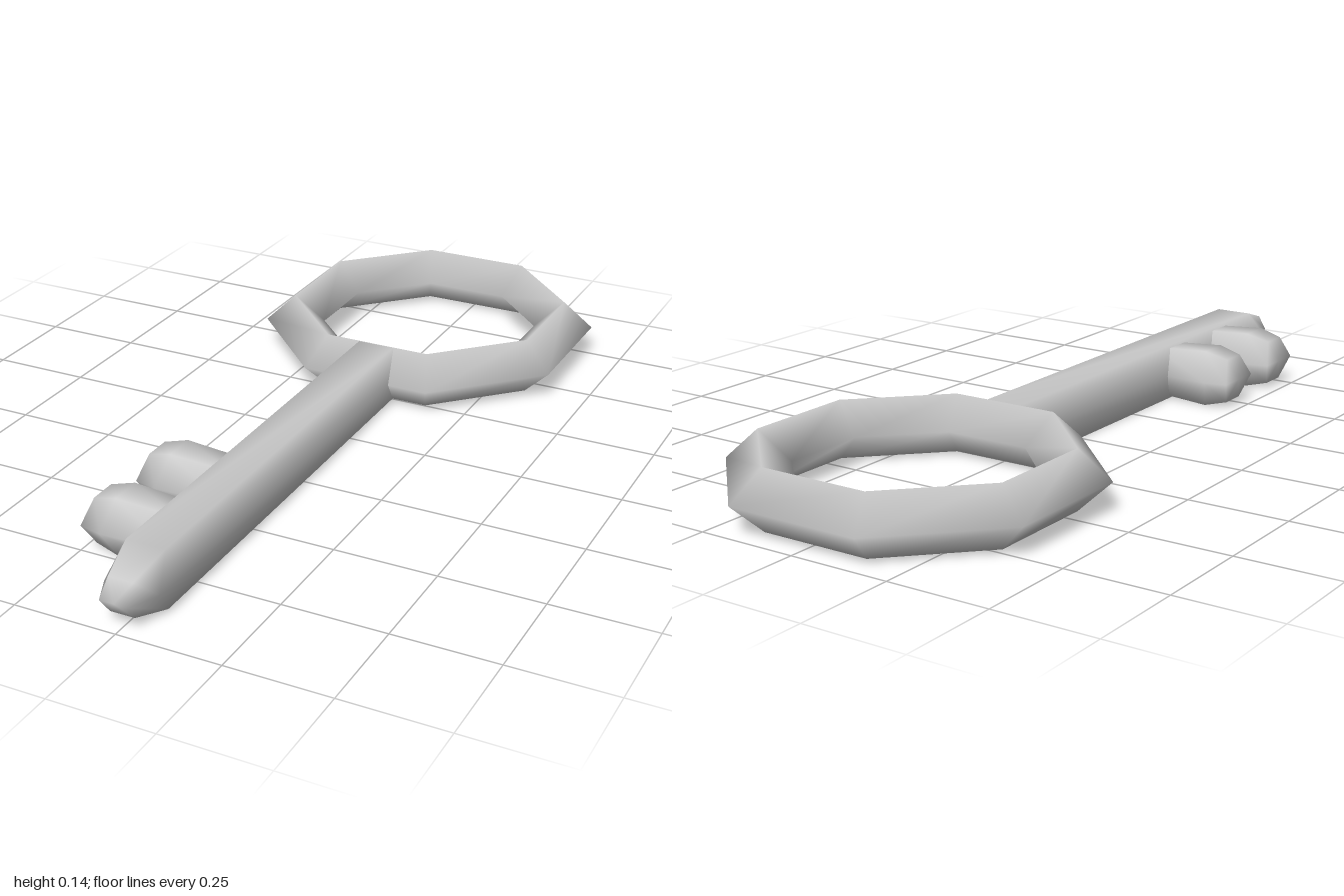
import * as THREE from 'three';

const MID = 0.0725; // half the thickness of the key
const material = new THREE.MeshStandardMaterial({ color: 0xcccccc });

// Six-sided bar along +z. Each section: side position, top position,
// half width at the middle, half width at the top, half height.
function bar(sections) {
  const points = [];
  const index = [];
  for (const [zs, zt, w, t, h] of sections) {
    points.push(w, 0, zs, t, h, zt, -t, h, zt, -w, 0, zs, -t, -h, zt, t, -h, zt);
  }
  const n = sections.length;
  points.push(0, 0, sections[0][0], 0, 0, sections[n - 1][0]);
  for (let j = 0; j < 6; j++) {
    const k = (j + 1) % 6;
    for (let i = 0; i < n - 1; i++) {
      const a = i * 6 + j, b = i * 6 + k;
      index.push(a, b, b + 6, a, b + 6, a + 6);
    }
    index.push(k, j, n * 6); // start cap
    index.push((n - 1) * 6 + j, (n - 1) * 6 + k, n * 6 + 1); // end cap
  }
  const geometry = new THREE.BufferGeometry();
  geometry.setAttribute('position', new THREE.Float32BufferAttribute(points, 3));
  geometry.setIndex(index);
  geometry.computeVertexNormals();
  return geometry;
}

export function createModel() {
  const key = new THREE.Group();
  key.name = 'key';

  function add(name, geometry, z) {
    const mesh = new THREE.Mesh(geometry, material);
    mesh.name = name;
    mesh.position.set(0, MID, z);
    key.add(mesh);
    return mesh;
  }

  // Octagonal bow with a diamond section, flats facing the axes
  const corner = Math.cos(Math.PI / 8);
  const bow = new THREE.TorusGeometry(0.3375 / corner, MID / corner, 4, 8);
  bow.rotateZ(Math.PI / 8);
  bow.rotateX(Math.PI / 2);
  bow.scale(1, corner, 1);
  add('bow', bow, -0.59);

  // Shaft with a tapered tip
  add('shaft', bar([
    [-0.25, -0.25, 0.067, 0.048, MID],
    [0.93, 0.87, 0.067, 0.048, MID],
    [1.0, 0.97, 0.035, 0.03, 0.042],
  ]), 0);

  // Two teeth on the right side
  for (const z of [0.467, 0.695]) {
    const tooth = add('tooth', bar([
      [0, 0, 0.073, 0.035, 0.062],
      [0.18, 0.16, 0.081, 0.04, MID],
      [0.237, 0.22, 0.068, 0.034, 0.057],
    ]), z);
    tooth.rotation.y = -Math.PI / 2;
  }

  return key;
}
